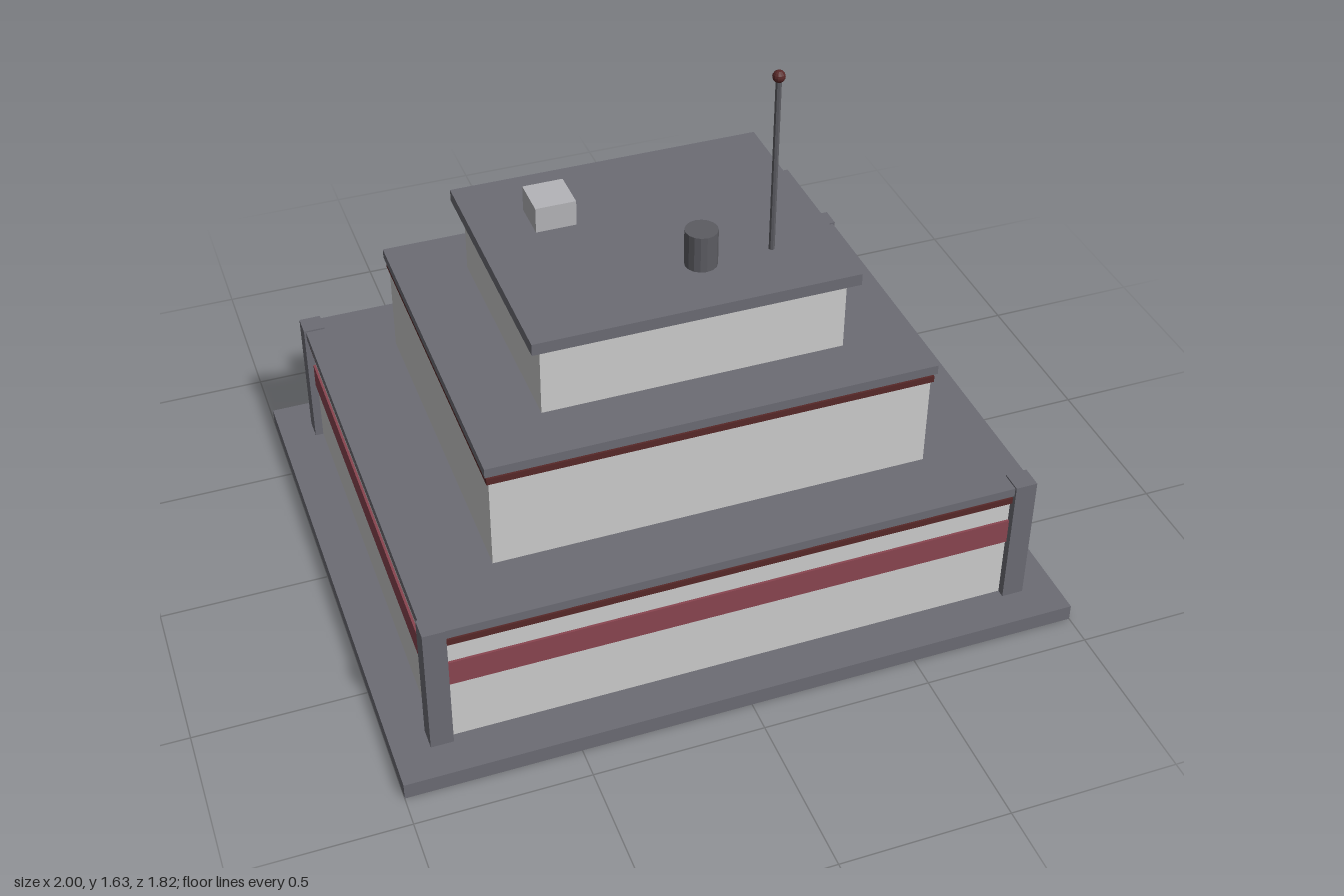
import * as THREE from 'three';

const mat = (color) => new THREE.MeshStandardMaterial({ color, flatShading: true });

export function createModel() {
  const model = new THREE.Group();
  const wall = mat(0xcccccc), slab = mat(0x6c6c74), red = mat(0x8a4550);
  const trim = mat(0x572828), pale = mat(0xb4b4b8), metal = mat(0x5c5c62);

  function add(name, geometry, material, x, y, z) {
    const mesh = new THREE.Mesh(geometry, material);
    mesh.name = name;
    mesh.position.set(x, y, z);
    model.add(mesh);
    return mesh;
  }
  // Box given by its extents along each axis
  const box = (name, material, [x0, x1], [y0, y1], [z0, z1]) =>
    add(name, new THREE.BoxGeometry(x1 - x0, y1 - y0, z1 - z0), material,
      (x0 + x1) / 2, (y0 + y1) / 2, (z0 + z1) / 2);
  // Box centred on the building's axis, given by half sizes
  const midZ = 0.068;
  const layer = (name, material, hx, hz, y0, y1) =>
    box(name, material, [-hx, hx], [y0, y1], [midZ - hz, midZ + hz]);

  // Plinth
  layer('plinth', slab, 1, 0.84, 0, 0.05);

  // Ground floor with red band, trim, roof slab and corner posts
  layer('lowerWalls', wall, 0.872, 0.71, 0.05, 0.435);
  layer('lowerBand', red, 0.879, 0.717, 0.25, 0.33);
  layer('lowerTrim', trim, 0.884, 0.722, 0.4, 0.42);
  layer('lowerRoof', slab, 0.89, 0.728, 0.432, 0.46);
  for (const sx of [-1, 1]) {
    for (const sz of [-1, 1]) {
      add('cornerPost', new THREE.BoxGeometry(0.065, 0.415, 0.065), slab,
        sx * 0.864, 0.2575, midZ + sz * 0.702);
    }
  }

  // Middle floor
  layer('middleWalls', wall, 0.642, 0.523, 0.46, 0.778);
  layer('middleTrim', trim, 0.649, 0.53, 0.745, 0.765);
  layer('middleRoof', slab, 0.655, 0.536, 0.776, 0.805);

  // Top floor
  layer('upperWalls', wall, 0.443, 0.362, 0.805, 1.03);
  layer('upperRoof', slab, 0.473, 0.393, 1.028, 1.064);

  // Entrance at the back
  box('doorFrame', slab, [-0.19, 0.19], [0.05, 0.432], [-0.672, -0.62]);
  box('door', red, [-0.145, 0.145], [0.075, 0.4], [-0.678, -0.63]);
  box('doorStep', slab, [-0.245, 0.245], [0.05, 0.075], [-0.792, -0.64]);
  box('canopy', pale, [-0.255, 0.255], [0.457, 0.481], [-0.905, -0.62]);
  box('canopyLip', trim, [-0.26, 0.26], [0.448, 0.462], [-0.91, -0.89]);

  // Rooftop equipment
  box('roofUnit', pale, [-0.305, -0.185], [1.06, 1.143], [-0.155, -0.032]);
  add('vent', new THREE.CylinderGeometry(0.047, 0.047, 0.115, 16), metal, 0.077, 1.118, 0.262);
  add('mast', new THREE.CylinderGeometry(0.009, 0.009, 0.55, 8), metal, 0.287, 1.335, 0.262);
  add('beacon', new THREE.SphereGeometry(0.018, 12, 8), trim, 0.287, 1.612, 0.262);

  return model;
}
